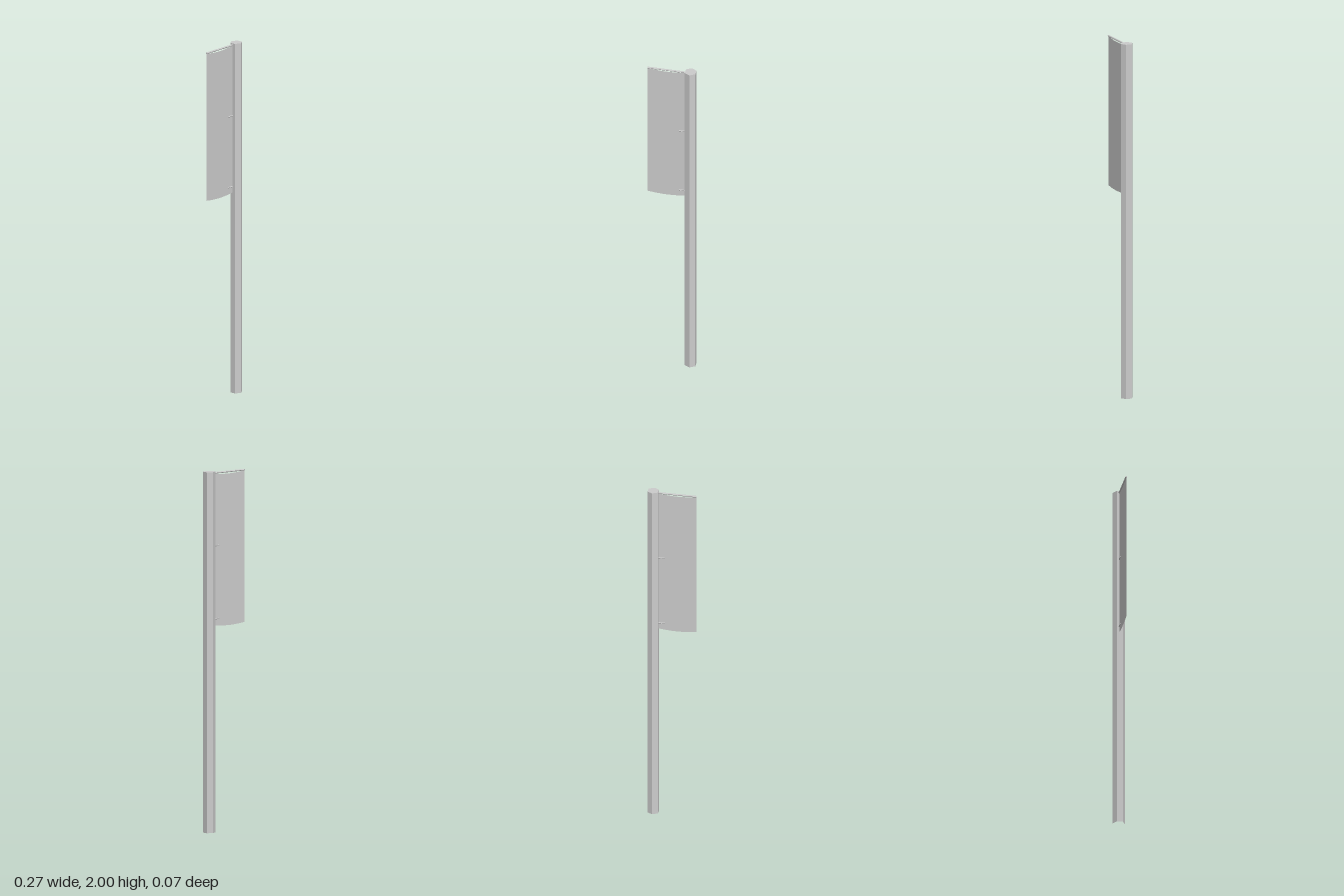
import * as THREE from 'three';

const grey = new THREE.MeshStandardMaterial({ color: 0xcccccc, flatShading: true });
const clothGrey = new THREE.MeshStandardMaterial({ color: 0xcccccc, side: THREE.DoubleSide });

const POLE_X = 0.106, LEFT = -0.136, RIGHT = 0.078, CLOTH_Z = -0.002;

function add(group, name, geometry, material, x = 0, y = 0, z = 0) {
  const mesh = new THREE.Mesh(geometry, material);
  mesh.name = name;
  mesh.position.set(x, y, z);
  group.add(mesh);
  return mesh;
}

// Thin six-sided bar lying along x
function bar(x0, x1, radius) {
  return new THREE.CylinderGeometry(radius, radius, x1 - x0, 6).rotateZ(Math.PI / 2);
}

export function createModel() {
  const group = new THREE.Group();
  group.name = 'bannerPole';

  // Hexagonal pole, closed on top and open underneath
  add(group, 'pole', new THREE.CylinderGeometry(0.034, 0.034, 2, 6, 1, true), grey, POLE_X, 1, 0);
  add(group, 'poleCap', new THREE.CircleGeometry(0.034, 6, Math.PI / 6).rotateX(-Math.PI / 2).rotateY(Math.PI / 3),
    grey, POLE_X, 2, 0).rotation.y = 0;

  // Crossbar holding up the banner
  add(group, 'crossbar', bar(LEFT, 0.085, 0.005), grey, (LEFT + 0.085) / 2, 1.99, CLOTH_Z);

  // Banner cloth: the top edge sags a little below the bar, the hem bows down
  const mid = (LEFT + RIGHT) / 2;
  const cloth = new THREE.Shape();
  cloth.moveTo(LEFT, 1.146);
  cloth.quadraticCurveTo(mid, 1.13, RIGHT, 1.146);
  cloth.lineTo(RIGHT, 1.987);
  cloth.quadraticCurveTo(mid, 1.969, LEFT, 1.987);
  cloth.closePath();
  add(group, 'bannerCloth', new THREE.ShapeGeometry(cloth, 10), clothGrey, 0, 0, CLOTH_Z);

  // Two short ties between pole and cloth
  for (const y of [1.586, 1.181]) {
    add(group, 'clothTie', bar(0.04, 0.085, 0.004), grey, 0.0625, y, CLOTH_Z);
  }
  return group;
}
